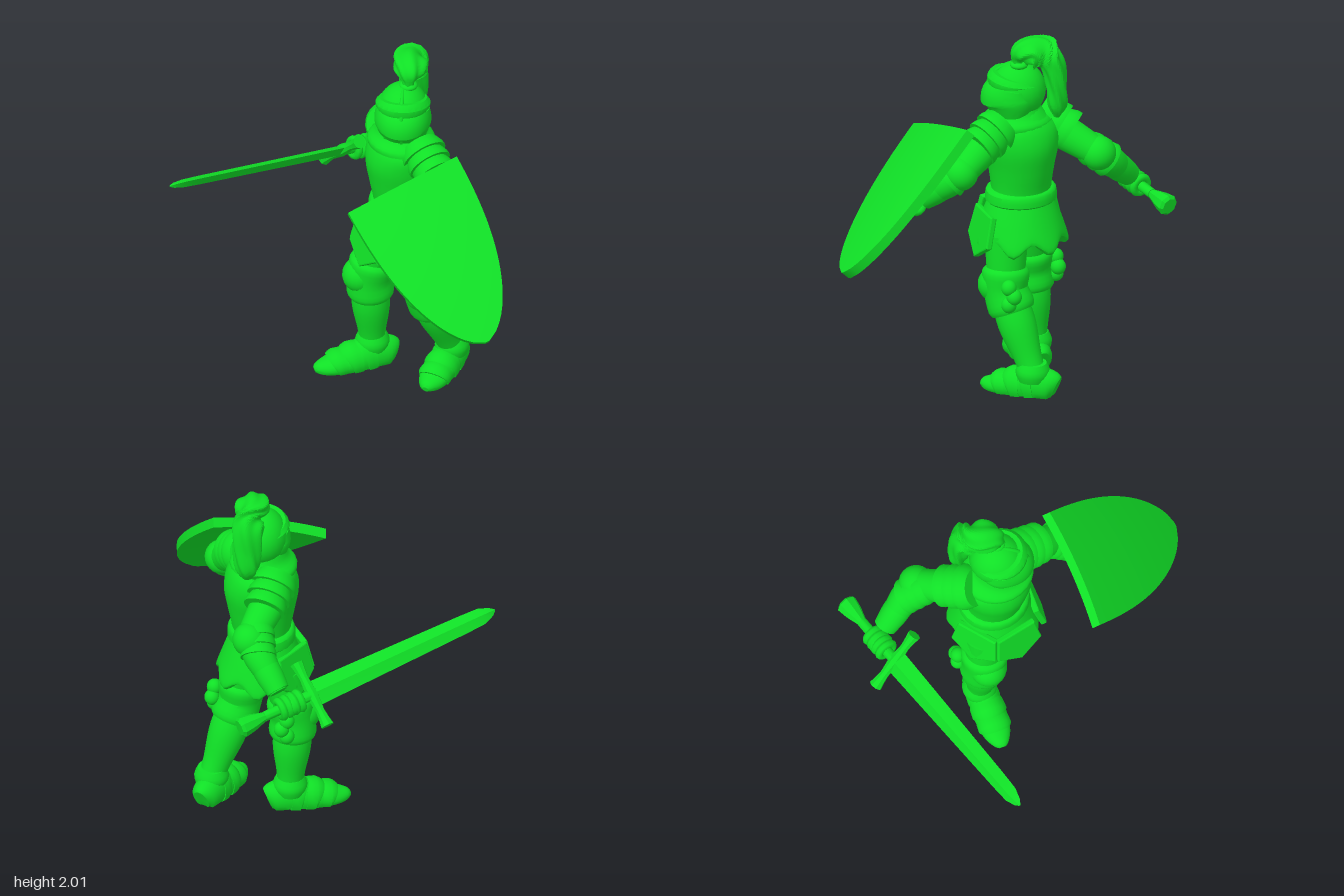
import * as THREE from 'three';
import { toCreasedNormals } from 'three/addons/utils/BufferGeometryUtils.js';

const V = (a) => new THREE.Vector3(...a);
const mix = (a, b, t) => a.map((v, i) => v + (b[i] - v) * t);

export function createModel() {
  const green = new THREE.MeshStandardMaterial({ color: 0x10e026 });
  green.name = 'green';
  const root = new THREE.Group();
  root.name = 'knight';

  function add(name, geo, parent = root) {
    const m = new THREE.Mesh(geo, green);
    m.name = name;
    parent.add(m);
    return m;
  }

  // Skin through rows [x, y, z, radius along ref, radius across]
  function loft(name, rows, { ref = [0, 0, 1], seg = 24, steps = 5, floor = -9, warp, parent = root } = {}) {
    const P = [], at = (i) => rows[Math.max(0, Math.min(rows.length - 1, i))];
    for (let i = 0; i < rows.length - 1; i++) for (let s = 0; s < steps; s++) {
      const t = s / steps, [a, b, c, d] = [at(i - 1), at(i), at(i + 1), at(i + 2)];
      P.push(b.map((_, k) => 0.5 * (2 * b[k] + (c[k] - a[k]) * t + (2 * a[k] - 5 * b[k] + 4 * c[k] - d[k]) * t * t
        + (3 * b[k] - a[k] - 3 * c[k] + d[k]) * t ** 3)));
    }
    P.push(rows[rows.length - 1]);
    const pos = [], idx = [], n = P.length, r = V(ref);
    const put = (v) => pos.push(v.x, Math.max(floor, v.y), v.z);
    P.forEach((p, i) => {
      const t = V(P[Math.min(n - 1, i + 1)].slice(0, 3)).sub(V(P[Math.max(0, i - 1)].slice(0, 3))).normalize();
      const A = r.clone().addScaledVector(t, -r.dot(t)).normalize(), B = t.clone().cross(A);
      for (let j = 0; j < seg; j++) {
        const th = j / seg * Math.PI * 2, k = warp ? warp(th, i / (n - 1)) : [1, 0];
        put(V(p.slice(0, 3)).addScaledVector(A, p[3] * Math.cos(th) * k[0])
          .addScaledVector(B, p[4] * Math.sin(th) * k[0]).addScaledVector(t, k[1]));
        if (i < n - 1) {
          const a = i * seg + j, b = i * seg + (j + 1) % seg;
          idx.push(a, b, b + seg, a, b + seg, a + seg);
        }
      }
    });
    put(V(P[0].slice(0, 3)));
    put(V(P[n - 1].slice(0, 3)));
    for (let j = 0; j < seg; j++) {
      const k = (j + 1) % seg, e = (n - 1) * seg;
      idx.push(n * seg, k, j, n * seg + 1, e + j, e + k);
    }
    const g = new THREE.BufferGeometry();
    g.setAttribute('position', new THREE.Float32BufferAttribute(pos, 3));
    g.setIndex(idx);
    return add(name, toCreasedNormals(g, 0.55), parent);
  }

  function ball(name, p, r, parent = root) {
    const m = add(name, new THREE.SphereGeometry(1, 24, 16), parent);
    m.position.set(...p);
    m.scale.set(...r);
    return m;
  }

  // Overlapping flared plates along a line
  function lames(name, a, b, count, r0, r1, opt = {}) {
    for (let i = 0; i < count; i++) {
      const r = r0 + (r1 - r0) * i / Math.max(1, count - 1);
      const p = mix(a, b, i / count), q = mix(a, b, (i + 1.15) / count);
      loft(name, [[...p, r * 0.85, r * 0.85], [...mix(p, q, 0.6), r, r], [...q, r * 1.02, r * 1.02]], { steps: 2, ref: [0, 1, 0.01], ...opt });
    }
  }

  // Torso, turned toward the sword side
  const side = [0.37, 0, 0.93];
  const body = (ys) => ys.map(([y, a, b]) => [0.38, y, -0.09, a, b]);
  loft('breastplate', body([[1.04, 0.17, 0.16], [1.12, 0.165, 0.16], [1.25, 0.18, 0.185], [1.38, 0.205, 0.205], [1.48, 0.205, 0.185], [1.55, 0.14, 0.14], [1.6, 0.1, 0.1]]), { ref: side });
  loft('belt', body([[1.05, 0.185, 0.17], [1.06, 0.2, 0.185], [1.11, 0.195, 0.18], [1.125, 0.175, 0.165]]), { ref: side, steps: 2 });
  loft('skirt', body([[0.82, 0.23, 0.22], [0.84, 0.25, 0.245], [0.95, 0.22, 0.21], [1.06, 0.18, 0.17]]),
    { ref: side, seg: 48, warp: (th, s) => [1 + 0.06 * (1 - s) * Math.cos(7 * th), -0.04 * (1 - s) * Math.cos(7 * th)] });
  loft('gorget', [[0.37, 1.5, -0.07, 0.2, 0.18], [0.37, 1.53, -0.07, 0.19, 0.18], [0.37, 1.57, -0.07, 0.14, 0.14], [0.37, 1.62, -0.07, 0.12, 0.12]], { ref: side, steps: 3 });

  // Pointed hip plates
  const plate = new THREE.Shape([[-0.11, 0.1], [0.11, 0.1], [0.13, -0.06], [0, -0.15], [-0.13, -0.06]].map((p) => new THREE.Vector2(...p)));
  for (const [a, y] of [[0.25, 0.89], [-1.1, 0.91], [-2.2, 0.91]]) {
    const m = add('hipPlate', new THREE.ExtrudeGeometry(plate, { depth: 0.02, bevelSize: 0.008, bevelThickness: 0.008, bevelSegments: 2 }));
    m.position.set(0.37 + 0.205 * Math.sin(a), y, -0.08 + 0.205 * Math.cos(a));
    m.rotation.set(-0.22, a, 0, 'YXZ');
  }

  // Helmet with wedge visor
  const helmet = new THREE.Group();
  helmet.name = 'helmet';
  helmet.position.set(0.38, 1.685, -0.06);
  helmet.rotation.y = -0.12;
  root.add(helmet);
  ball('skull', [0, 0.01, -0.01], [0.142, 0.16, 0.155], helmet);
  loft('visor', [[0, -0.13, 0.01, 0.1, 0.125], [0, -0.05, 0.01, 0.135, 0.152], [0, -0.01, 0.015, 0.14, 0.155], [0, 0.045, 0.01, 0.13, 0.145]],
    { parent: helmet, seg: 40, steps: 4, warp: (th, s) => [1 + 0.28 * Math.max(0, Math.cos(th)) ** 3 * Math.sin(Math.PI * (0.15 + 0.8 * s)), 0] });
  loft('browPlate', [[0, 0.062, 0.005, 0.145, 0.148], [0, 0.075, 0.005, 0.15, 0.15], [0, 0.1, 0, 0.13, 0.13]], { parent: helmet, steps: 2 });
  const crest = add('crest', new THREE.TorusGeometry(0.157, 0.012, 8, 24, Math.PI * 0.9), helmet);
  crest.rotation.set(0, Math.PI / 2, 0.3, 'YXZ');
  for (let i = -3; i <= 3; i++) {
    const m = add('visorBar', new THREE.BoxGeometry(0.014, 0.085, 0.014), helmet);
    m.position.set(i * 0.03, -0.075, 0.153 - 0.009 * Math.abs(i) - 0.0015 * i * i);
    m.rotation.set(0.45, i * 0.2, 0);
  }

  // Plume with twisted strands
  loft('plume', [[0.41, 1.83, -0.08, 0.035, 0.035], [0.41, 1.88, -0.07, 0.035, 0.035], [0.415, 1.92, -0.09, 0.06, 0.075], [0.43, 1.935, -0.17, 0.065, 0.1],
    [0.445, 1.87, -0.25, 0.065, 0.085], [0.45, 1.73, -0.275, 0.055, 0.075], [0.45, 1.62, -0.28, 0.05, 0.06], [0.45, 1.55, -0.275, 0.015, 0.02]],
    { ref: [0, 0.6, 0.8], seg: 48, steps: 10, warp: (th, s) => [1 + 0.09 * Math.sin(6 * th + 22 * s), 0] });
  ball('plumeSocket', [0.41, 1.85, -0.075], [0.05, 0.025, 0.05]);

  // Arms: shoulder, elbow, wrist
  function arm(side, s, e, w) {
    const n = (p, r) => [...p, r, r], o = { ref: [0.3, 1, 0.2] };
    loft(side + 'UpperArm', [n(s, 0.1), n(mix(s, e, 0.5), 0.092), n(e, 0.078)], o);
    loft(side + 'Forearm', [n(e, 0.075), n(mix(e, w, 0.35), 0.085), n(mix(e, w, 0.75), 0.065), n(w, 0.05)], o);
    lames(side + 'ElbowPlate', mix(s, e, 0.72), mix(e, w, 0.3), 3, 0.095, 0.097, o);
    ball(side + 'ElbowCop', e, [0.095, 0.095, 0.095]);
    lames(side + 'Cuff', mix(e, w, 0.98), mix(e, w, 0.6), 1, 0.075, 0.08, o);
  }
  arm('right', [0.3, 1.45, -0.25], [0.425, 1.31, -0.51], [0.26, 1.1, -0.7]);
  arm('left', [0.5, 1.45, 0.1], [0.61, 1.31, 0.27], [0.54, 1.14, 0.47]);
  lames('rightPauldron', [0.29, 1.52, -0.2], [0.35, 1.42, -0.36], 3, 0.125, 0.115);
  lames('leftPauldron', [0.46, 1.52, 0.02], [0.54, 1.43, 0.16], 3, 0.125, 0.115);

  // Sword
  const dir = [-0.845, 0.158, 0.511], guard = [0.08, 1.06, -0.66], flat = [0.47, 0.65, 0.6];
  const on = (s) => guard.map((g, i) => g + dir[i] * s);
  const rod = (name, list, o) => loft(name, list.map(([s, a, b]) => [...on(s), a, b]), { ref: flat, ...o });
  rod('blade', [[0, 0.072, 0.026], [0.95, 0.052, 0.024], [1.06, 0.047, 0.022], [1.12, 0.025, 0.014], [1.145, 0.005, 0.004]], { seg: 4, steps: 1 });
  rod('grip', [[-0.3, 0.028, 0.028], [0, 0.03, 0.03]], { steps: 1 });
  rod('pommel', [[-0.455, 0.045, 0.045], [-0.44, 0.06, 0.06], [-0.38, 0.05, 0.05], [-0.3, 0.026, 0.026]], { seg: 8, steps: 1 });
  const g = (s) => guard.map((v, i) => v + flat[i] * s);
  loft('crossGuard', [[-0.19, 0.038], [-0.1, 0.025], [0, 0.035], [0.1, 0.025], [0.19, 0.038]].map(([s, r]) => [...g(s), r, r]), { ref: dir, seg: 8, steps: 2 });

  // Gauntlets gripping a bar
  function hand(name, c, axis, r) {
    ball(name, c, r);
    const q = new THREE.Quaternion().setFromUnitVectors(new THREE.Vector3(0, 0, 1), V(axis).normalize());
    for (let i = 0; i < 4; i++) {
      const f = add(name + 'Finger', new THREE.TorusGeometry(0.046, 0.022, 8, 16));
      f.position.copy(V(c)).addScaledVector(V(axis).normalize(), (i - 1.5) * 0.038);
      f.quaternion.copy(q);
    }
  }
  hand('rightHand', on(-0.14), dir, [0.07, 0.06, 0.065]);
  hand('leftHand', [0.52, 1.11, 0.53], [0.9, 0.3, -0.32], [0.06, 0.05, 0.06]);

  // Shield: tapered, gently curved board
  const sg = new THREE.BoxGeometry(2, 1, 0.055, 16, 30, 1), p = sg.attributes.position;
  for (let i = 0; i < p.count; i++) {
    const t = Math.min(1, 0.5 - p.getY(i));
    const x = p.getX(i) * 0.335 * Math.max(0.004, 1 - t ** 2.4) ** 0.6;
    p.setXYZ(i, x, -t * 0.977, p.getZ(i) - 0.2 * x * x + 0.06 * t * (1 - t));
  }
  const shield = add('shield', toCreasedNormals(sg, 0.5));
  const u = V([0.898, 0.304, -0.32]).normalize(), n = V([0.037, 0.671, 0.741]).normalize();
  shield.quaternion.setFromRotationMatrix(new THREE.Matrix4().makeBasis(u, n.clone().cross(u), n));
  shield.position.set(0.355, 1.48, 0.345);

  // Legs: hip, knee, ankle, then outward side of the knee
  function leg(name, h, k, a, out, fwd) {
    const m = (q, r, s = r) => [...q, r, s], o = { ref: [0, 0, 1] };
    loft(name + 'Thigh', [m(k, 0.095), m(mix(k, h, 0.5), 0.11), m(h, 0.12)], o);
    loft(name + 'Shin', [m(a, 0.07), m(mix(a, k, 0.2), 0.078), m(mix(a, k, 0.6), 0.105), m(k, 0.09)], o);
    loft(name + 'KneeBand', [m(mix(k, a, 0.27), 0.118), m(mix(k, a, 0.2), 0.13), m(k, 0.122), m(mix(k, h, 0.3), 0.13), m(mix(k, h, 0.4), 0.108)], { ...o, steps: 3 });
    ball(name + 'KneeCop', [k[0] + fwd[0] * 0.055, k[1] + 0.02, k[2] + fwd[1] * 0.055], [0.1, 0.1, 0.1]);
    for (const [dy, d] of [[0.05, 0], [-0.05, 0], [0, 0.03]])
      ball(name + 'KneeFan', [k[0] + out[0] * 0.14 - fwd[0] * d, k[1] + 0.01 + dy, k[2] + out[1] * 0.14 - fwd[1] * d], [0.042, 0.045, 0.042]);
    loft(name + 'AnkleCuff', [m([a[0], 0.09, a[2]], 0.085), m([a[0], 0.14, a[2]], 0.095), m([a[0], 0.19, a[2]], 0.075)], { ...o, steps: 3 });
  }
  leg('right', [0.26, 0.88, -0.15], [0.205, 0.57, -0.16], [0.22, 0.13, -0.185], [0.2, -1], [-0.95, 0.3]);
  leg('left', [0.46, 0.88, 0], [0.5, 0.57, 0.01], [0.65, 0.13, -0.12], [1, 0], [-0.4, 0.9]);

  // Armoured shoes with overlapping plates
  function foot(name, heel, toe) {
    const o = { ref: [0, 1, 0], floor: 0, steps: 4 };
    const row = ([t, y, a, b]) => [heel[0] + (toe[0] - heel[0]) * t, y, heel[1] + (toe[1] - heel[1]) * t, a, b];
    loft(name, [[0, 0.05, 0.07, 0.045], [0.08, 0.06, 0.09, 0.075], [0.3, 0.06, 0.105, 0.085], [0.55, 0.045, 0.085, 0.092], [0.8, 0.025, 0.055, 0.078], [0.95, 0.02, 0.035, 0.045], [1, 0.015, 0.015, 0.02]].map(row), o);
    for (const [t, y, a, b] of [[0.32, 0.06, 0.112, 0.092], [0.5, 0.05, 0.1, 0.098], [0.68, 0.04, 0.078, 0.093]])
      loft(name + 'Plate', [[t - 0.06, y, a * 0.96, b * 0.96], [t + 0.06, y - 0.005, a, b], [t + 0.09, y - 0.01, a * 0.85, b * 0.9]].map(row), { ...o, steps: 2 });
  }
  foot('rightFoot', [0.34, -0.21], [-0.1, -0.09]);
  foot('leftFoot', [0.7, -0.24], [0.49, 0.14]);

  return root;
}
